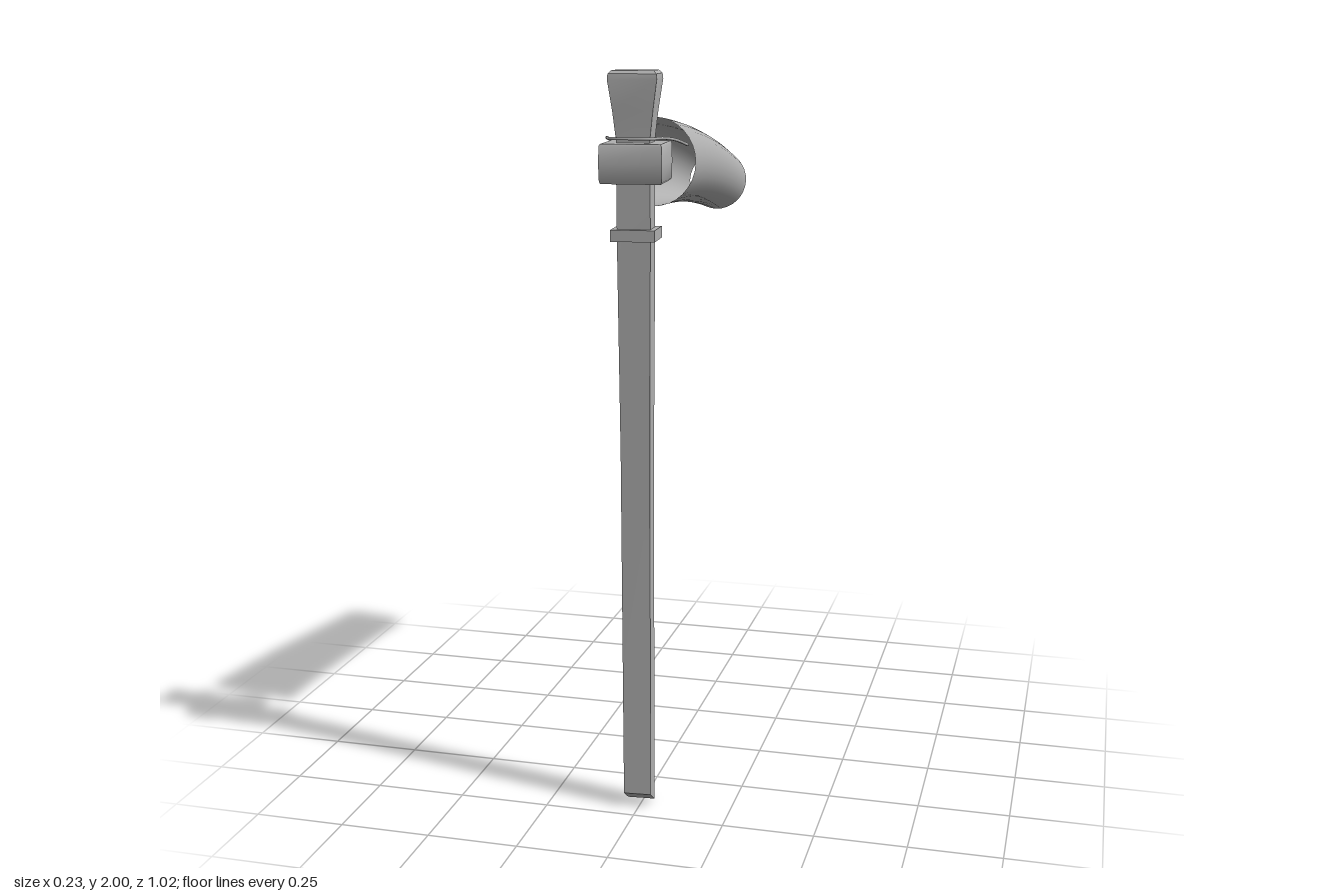
import * as THREE from 'three';
import { toCreasedNormals } from 'three/addons/utils/BufferGeometryUtils.js';

const grey = new THREE.MeshStandardMaterial({ color: 0xb0b0b0 });
grey.name = 'plain grey';
const greyCloth = grey.clone();
greyCloth.name = 'plain grey cloth';
greyCloth.side = THREE.DoubleSide;

// Rectangular column through sections [y, width, depth]; slant lifts the front of the lowest one
function column(name, sections, slant = 0) {
  const pos = [], idx = [];
  const corners = [[-1, 1], [1, 1], [1, -1], [-1, -1]];
  sections.forEach(([y, w, d], i) => {
    for (const [cx, cz] of corners) {
      pos.push(cx * w / 2, y + (i === 0 && cz > 0 ? slant : 0), cz * d / 2);
    }
  });
  for (let i = 0; i < sections.length - 1; i++) {
    for (let j = 0; j < 4; j++) {
      const a = i * 4 + j, b = i * 4 + (j + 1) % 4;
      idx.push(a, b, b + 4, a, b + 4, a + 4);
    }
  }
  const t = (sections.length - 1) * 4;
  idx.push(0, 2, 1, 0, 3, 2, t, t + 1, t + 2, t, t + 2, t + 3);
  const geo = new THREE.BufferGeometry();
  geo.setAttribute('position', new THREE.Float32BufferAttribute(pos, 3));
  geo.setIndex(idx);
  const mesh = new THREE.Mesh(toCreasedNormals(geo, 0.6), grey);
  mesh.name = name;
  return mesh;
}

// Open tapering tube along a drooping centre line
function sock() {
  const path = new THREE.QuadraticBezierCurve3(
    new THREE.Vector3(0, 1.76, 0.277),
    new THREE.Vector3(0, 1.737, -0.11),
    new THREE.Vector3(0, 1.645, -0.49));
  const rings = 20, sides = 32, pos = [], idx = [];
  for (let i = 0; i <= rings; i++) {
    const t = i / rings, c = path.getPoint(t), dir = path.getTangent(t);
    const up = new THREE.Vector3(0, -dir.z, dir.y);
    const r = 0.117 - 0.029 * t;
    for (let j = 0; j < sides; j++) {
      const a = j / sides * Math.PI * 2;
      pos.push(Math.cos(a) * r, c.y + up.y * Math.sin(a) * r, c.z + up.z * Math.sin(a) * r);
    }
  }
  for (let i = 0; i < rings; i++) {
    for (let j = 0; j < sides; j++) {
      const a = i * sides + j, b = i * sides + (j + 1) % sides;
      idx.push(a, a + sides, b, b, a + sides, b + sides);
    }
  }
  const geo = new THREE.BufferGeometry();
  geo.setAttribute('position', new THREE.Float32BufferAttribute(pos, 3));
  // ring angle runs counter-clockwise seen from the mouth, so flip to face outward
  for (let k = 0; k < idx.length; k += 3) {
    const [a, b, c] = [0, 1, 2].map(n => new THREE.Vector3().fromArray(pos, idx[k + n] * 3));
    const n = b.clone().sub(a).cross(c.clone().sub(a));
    const out = a.clone().sub(new THREE.Vector3(0, path.getPoint(Math.floor(idx[k] / sides) / rings).y, a.z));
    if (n.dot(out) < 0) [idx[k + 1], idx[k + 2]] = [idx[k + 2], idx[k + 1]];
  }
  geo.setIndex(idx);
  geo.computeVertexNormals();
  const mesh = new THREE.Mesh(geo, greyCloth);
  mesh.name = 'windSock';
  return mesh;
}

// Cord looped round the neck and tied to both sides of the mouth
function cord() {
  const points = [
    [-0.1, 1.805, 0.265], [-0.1, 1.822, 0.34], [-0.075, 1.832, 0.44], [-0.058, 1.832, 0.473],
    [0, 1.832, 0.475], [0.052, 1.832, 0.466], [0.066, 1.832, 0.43], [0.08, 1.822, 0.34], [0.092, 1.805, 0.265],
  ].map(p => new THREE.Vector3(...p));
  const mesh = new THREE.Mesh(new THREE.TubeGeometry(new THREE.CatmullRomCurve3(points), 48, 0.004, 6), grey);
  mesh.name = 'cord';
  return mesh;
}

export function createModel() {
  const model = new THREE.Group();
  model.name = 'windSockOnPost';

  // Slightly twisted wooden post with its fittings
  const post = new THREE.Group();
  post.name = 'post';
  post.position.set(-0.005, 0, 0.421);
  post.rotation.y = 0.09;
  post.add(
    column('shaft', [[0, 0.075, 0.06], [1.0, 0.078, 0.063], [1.58, 0.087, 0.073], [1.73, 0.087, 0.073]], 0.04),
    column('collar', [[1.572, 0.115, 0.11], [1.602, 0.115, 0.11]]),
    column('headBlock', [[1.72, 0.154, 0.152], [1.725, 0.16, 0.158], [1.77, 0.162, 0.164],
      [1.815, 0.16, 0.158], [1.82, 0.154, 0.152]]),
    column('topCap', [[1.815, 0.084, 0.075], [1.9, 0.104, 0.082], [1.978, 0.127, 0.096],
      [1.992, 0.124, 0.093], [2, 0.108, 0.078]]),
  );

  model.add(post, sock(), cord());
  return model;
}
